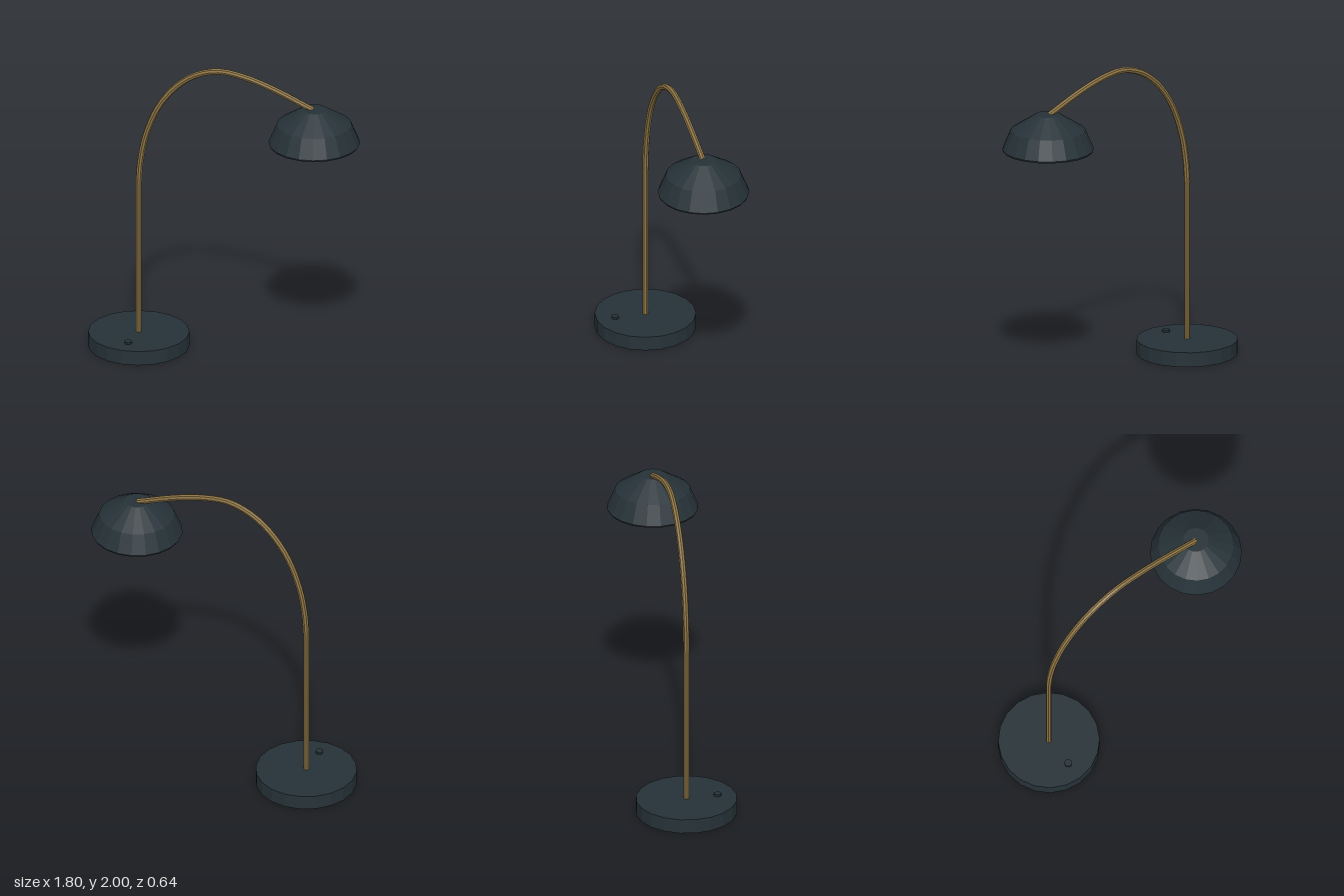
import * as THREE from 'three';

const charcoal = new THREE.MeshStandardMaterial({ name: 'charcoal', color: 0x263238, flatShading: true });
const brass = new THREE.MeshStandardMaterial({ name: 'brass', color: 0x8d7444, flatShading: true });
const diffuserCream = new THREE.MeshStandardMaterial({ name: 'diffuserCream', color: 0xaea291, flatShading: true });

const BASE_X = -0.577;
const SHADE_X = 0.605;

export function createModel() {
  const model = new THREE.Group();
  model.name = 'arcLamp';

  function add(name, geometry, material, x = 0, y = 0, z = 0) {
    const mesh = new THREE.Mesh(geometry, material);
    mesh.name = name;
    mesh.position.set(x, y, z);
    model.add(mesh);
  }

  // Upright cylinder standing on height y0
  function addCylinder(name, material, radius, y0, y1, sides, x, z = 0) {
    const geometry = new THREE.CylinderGeometry(radius, radius, y1 - y0, sides);
    add(name, geometry, material, x, (y0 + y1) / 2, z);
  }

  // Weighted base, switch and pole
  addCylinder('base', charcoal, 0.322, 0, 0.095, 20, BASE_X);
  addCylinder('switchButton', charcoal, 0.025, 0.09, 0.11, 8, BASE_X, 0.2);
  addCylinder('pole', brass, 0.018, 0.09, 1.15, 8, BASE_X);

  // Curved arm reaching over to the shade
  const armPoints = [
    [BASE_X, 1.13], [-0.568, 1.26], [-0.53, 1.46], [-0.44, 1.68], [-0.31, 1.845],
    [-0.177, 1.937], [-0.03, 1.979], [0.14, 1.963], [0.324, 1.912], [0.6, 1.805],
  ].map(([x, y]) => new THREE.Vector3(x, y, 0));
  add('arm', new THREE.TubeGeometry(new THREE.CatmullRomCurve3(armPoints), 32, 0.02, 8), brass);

  // Two-slope shade with a narrow bevelled rim
  const shadeProfile = [
    [0, 1.572], [0.285, 1.572], [0.291, 1.584], [0.238, 1.71], [0.08, 1.812], [0, 1.812],
  ].map(([r, y]) => new THREE.Vector2(r, y));
  add('shade', new THREE.LatheGeometry(shadeProfile, 20), charcoal, SHADE_X);

  // Light diffuser under the shade
  addCylinder('diffuser', diffuserCream, 0.258, 1.569, 1.574, 20, SHADE_X);

  return model;
}
